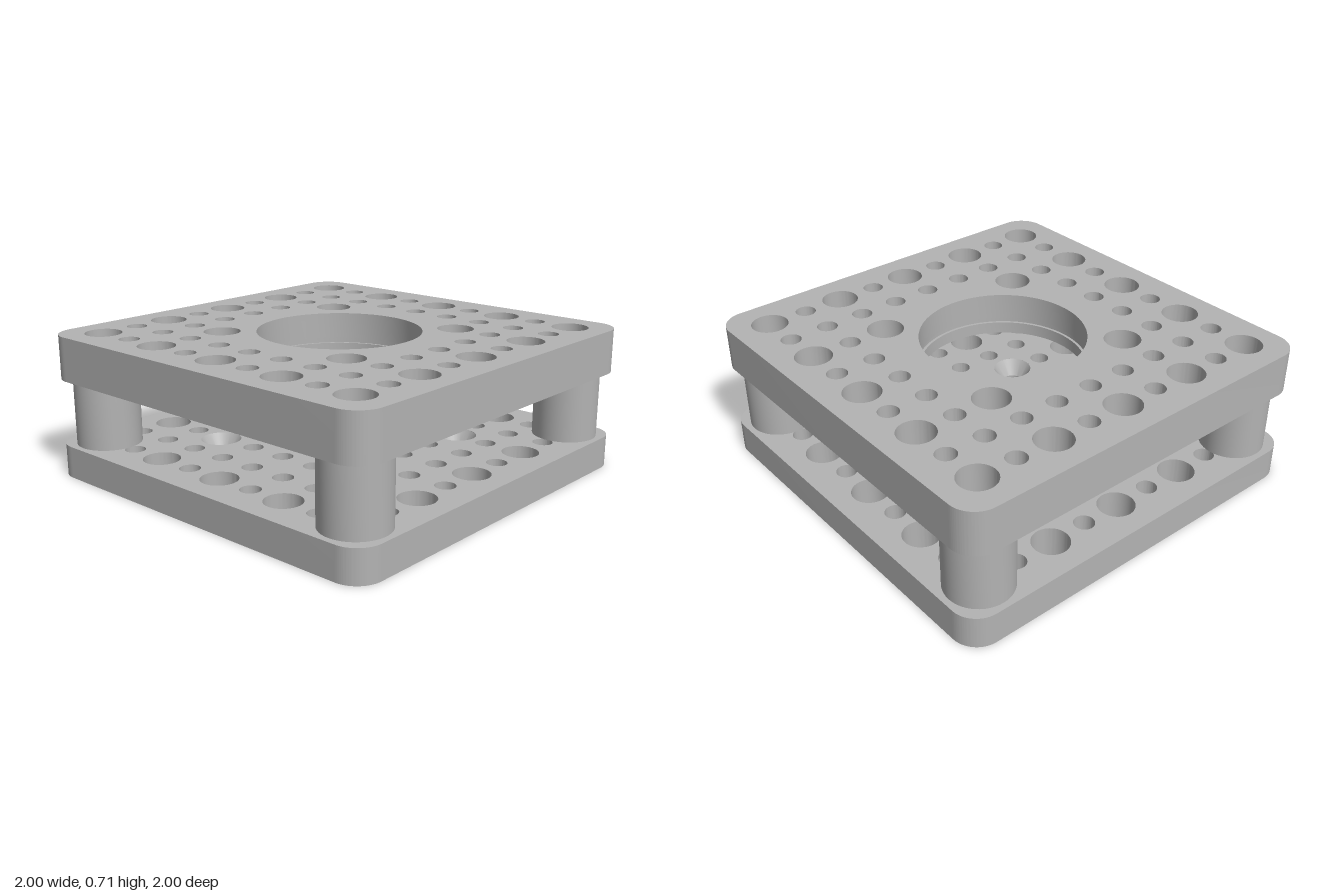
import * as THREE from 'three';
import { toCreasedNormals } from 'three/addons/utils/BufferGeometryUtils.js';

const PITCH = 0.2025, BIG = 0.09, SMALL = 0.05;
const BASE_TOP = 0.16, DECK_BOTTOM = 0.49, DECK_TOP = 0.71;

// Hole list [x, z, radius] shared by both plates: two square rings on a 9 x 9 grid
function gridHoles() {
  const holes = [];
  for (let i = -4; i <= 4; i++) {
    for (let j = -4; j <= 4; j++) {
      const ring = Math.max(Math.abs(i), Math.abs(j));
      if (ring < 3) continue;
      const big = ring === 4 && i % 2 === 0 && j % 2 === 0;
      holes.push([i * PITCH, j * PITCH, big ? BIG : SMALL]);
    }
  }
  return holes;
}

// The same hole mirrored into all four quadrants
function corners(d, r) {
  return [[d, d, r], [-d, d, r], [d, -d, r], [-d, -d, r]];
}

// Square plate with rounded corners and round through holes
function plate(y0, y1, holes) {
  const shape = new THREE.Shape();
  const c = 1 - 0.13;
  [[c, c], [-c, c], [-c, -c], [c, -c]].forEach(([x, y], k) => {
    shape.absarc(x, y, 0.13, k * Math.PI / 2, (k + 1) * Math.PI / 2, false);
  });
  shape.closePath();
  for (const [x, z, r] of holes) {
    const path = new THREE.Path();
    path.absarc(x, -z, r, 0, Math.PI * 2, true);
    shape.holes.push(path);
  }
  const geo = new THREE.ExtrudeGeometry(shape, { depth: y1 - y0, bevelEnabled: false, curveSegments: 32 });
  geo.rotateX(-Math.PI / 2);
  geo.translate(0, y0, 0);
  return toCreasedNormals(geo, 0.5);
}

// Turned part; the profile runs inner side down, then outer side up
function turned(profile, segments) {
  const geo = new THREE.LatheGeometry(profile.map(([r, y]) => new THREE.Vector2(r, y)), segments);
  return toCreasedNormals(geo, 0.5);
}

export function createModel() {
  const group = new THREE.Group();
  const grey = new THREE.MeshStandardMaterial({ color: 0xb3b3b3 });
  grey.name = 'light grey';

  function add(name, geo, x = 0, z = 0) {
    const mesh = new THREE.Mesh(geo, grey);
    mesh.name = name;
    mesh.position.set(x, 0, z);
    group.add(mesh);
  }

  // Base plate: grid holes, inner small holes, screw holes and central bore
  const screws = corners(0.42, 0.1);
  const inner = [];
  for (const k of [-1, 0, 1]) {
    for (const s of [-2, 2]) {
      inner.push([k * PITCH, s * PITCH, SMALL], [s * PITCH, k * PITCH, SMALL]);
    }
  }
  add('basePlate', plate(0, BASE_TOP, [...gridHoles(), ...inner, ...screws, [0, 0, 0.305]]));

  // Countersunk screw seats in the base plate
  const seat = turned([[0.1, BASE_TOP], [SMALL, 0.08], [SMALL, 0], [0.1, 0]], 32);
  for (const [x, z] of screws) add('countersunkSeat', seat, x, z);

  // Top plate with access holes over the screws and a large bore
  add('topPlate', plate(DECK_BOTTOM, DECK_TOP, [...gridHoles(), ...corners(2 * PITCH, BIG), [0, 0, 0.42]]));

  // Bore wall with a shallow retaining groove
  add('boreWall', turned([
    [0.42, DECK_TOP], [0.406, DECK_TOP], [0.406, 0.58], [0.42, 0.58],
    [0.42, 0.55], [0.406, 0.55], [0.406, DECK_BOTTOM], [0.42, DECK_BOTTOM],
  ], 64));

  // Hollow corner spacers between the plates
  const spacer = turned([
    [BIG, DECK_BOTTOM], [BIG, BASE_TOP], [0.16, BASE_TOP], [0.16, DECK_BOTTOM], [BIG, DECK_BOTTOM],
  ], 48);
  for (const [x, z] of corners(4 * PITCH, BIG)) add('spacer', spacer, x, z);

  return group;
}
